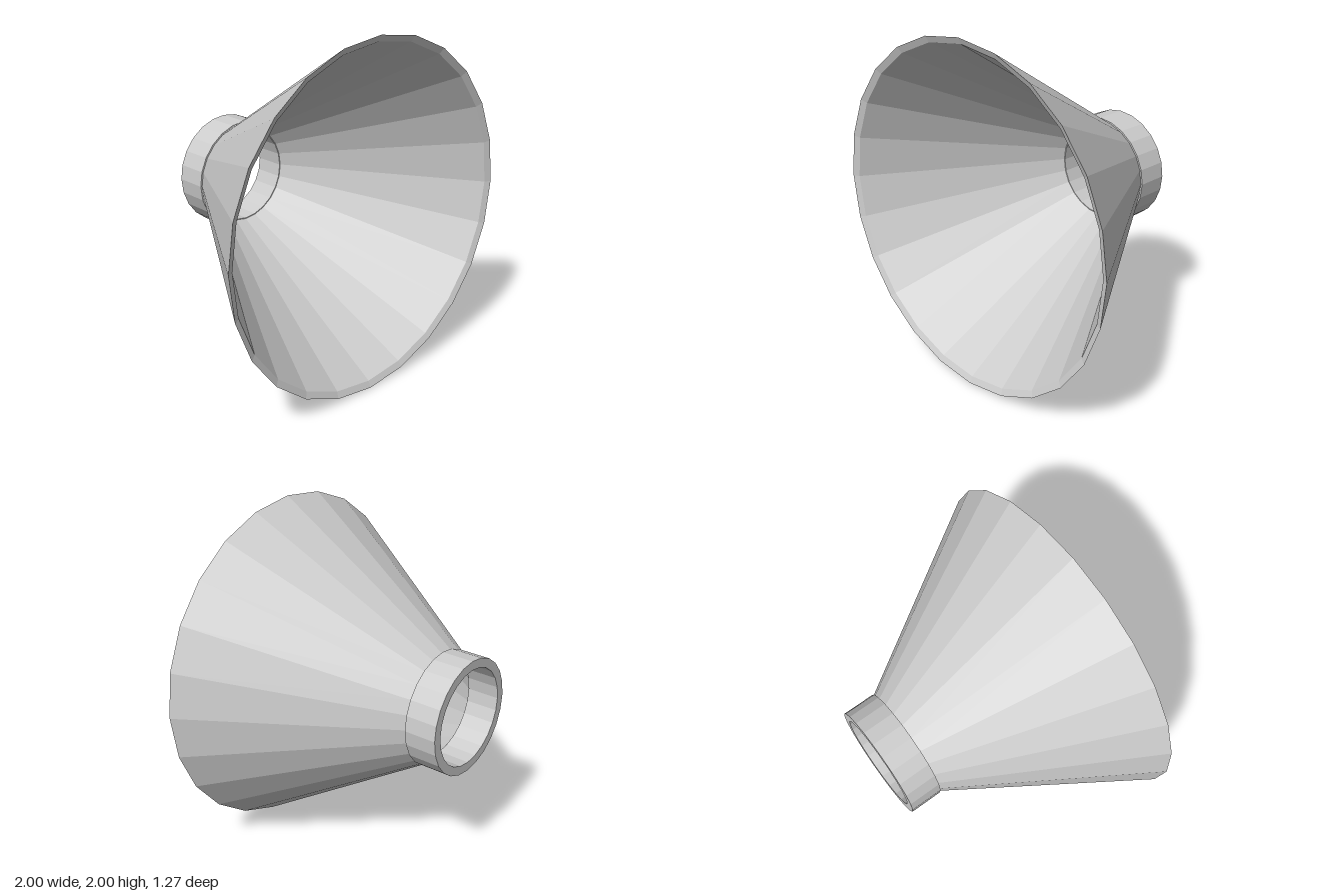
import * as THREE from 'three';

const SIDES = 24;

// Closed ring turned around the z axis from [radius, z] points, with faceted normals.
// Points run forward along the outside and back along the inside.
function turnedRing(name, profile, material) {
  const points = [...profile, profile[0]].map(([r, z]) => new THREE.Vector2(r, z));
  const geometry = new THREE.LatheGeometry(points, SIDES).toNonIndexed();
  geometry.rotateX(Math.PI / 2);
  geometry.translate(0, 1, 0);
  geometry.computeVertexNormals();
  const mesh = new THREE.Mesh(geometry, material);
  mesh.name = name;
  return mesh;
}

export function createModel() {
  const group = new THREE.Group();
  group.name = 'funnel';

  const grey = new THREE.MeshStandardMaterial({ color: 0xcccccc });
  grey.name = 'light grey';

  // Wide flared cone with a thin wall and a rim sloping slightly inward
  group.add(turnedRing('flaredCone', [
    [0.325, -0.445], [1, 0.635], [0.963, 0.618], [0.287, -0.445],
  ], grey));

  // Short cylindrical collar at the narrow back end
  group.add(turnedRing('collar', [
    [0.335, -0.635], [0.335, -0.445], [0.282, -0.445], [0.282, -0.635],
  ], grey));

  return group;
}
